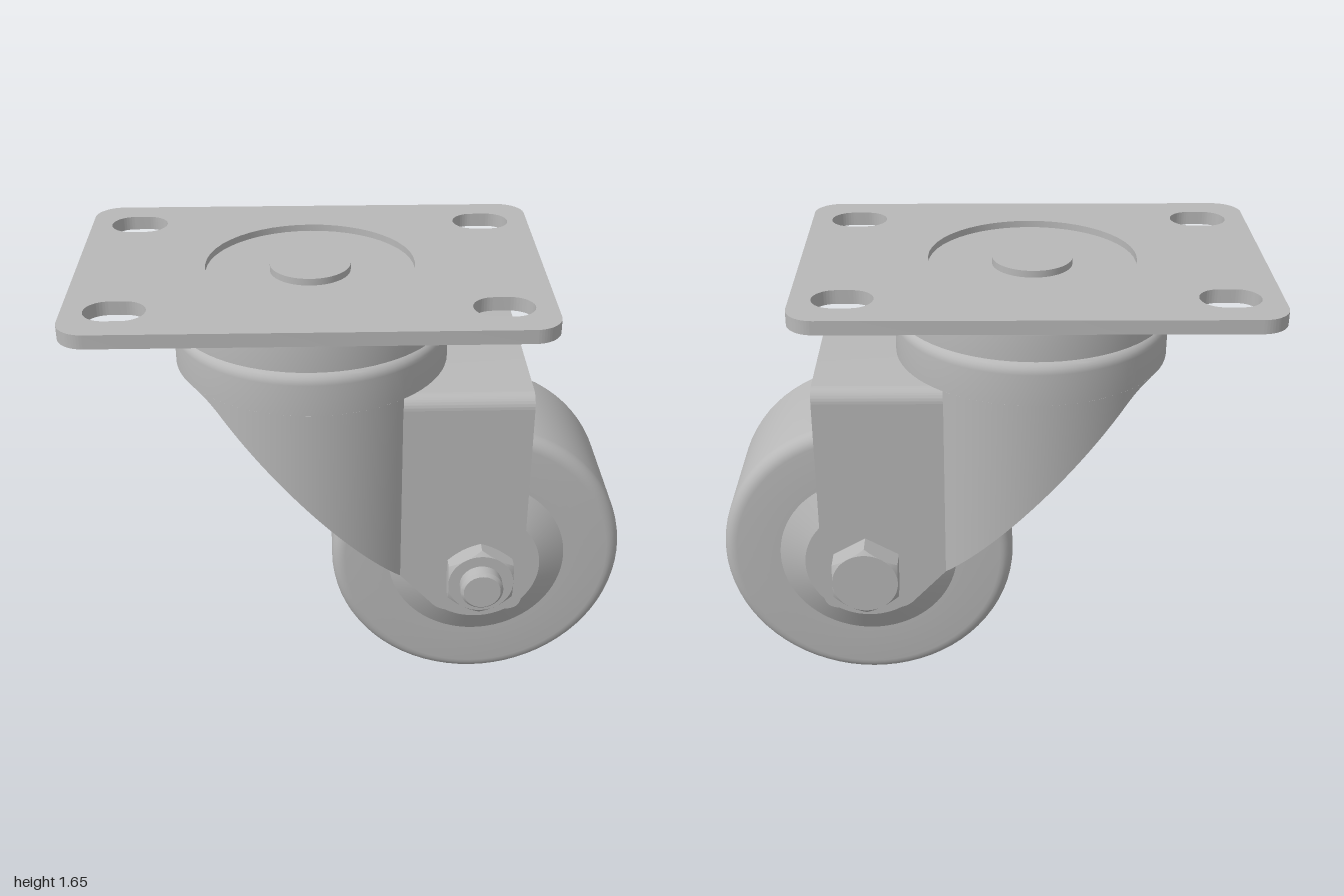
import * as THREE from 'three';
import { toCreasedNormals } from 'three/addons/utils/BufferGeometryUtils.js';

const SWIVEL_X = -0.17, AXLE_X = 0.445, AXLE_Y = 0.55;
const LEG_IN = 0.335, LEG_OUT = 0.385, LEG_START = 0.13, LEG_END = 0.612;

const steel = new THREE.MeshStandardMaterial({ color: 0xb8b8b8 });
steel.name = 'grey steel';

export function createModel() {
  const root = new THREE.Group();
  root.name = 'swivelCaster';

  const add = (name, geometry, x = 0, y = 0, z = 0, parent = root) => {
    const mesh = new THREE.Mesh(toCreasedNormals(geometry, 0.5), steel);
    mesh.name = name;
    mesh.position.set(x, y, z);
    parent.add(mesh);
    return mesh;
  };

  // Rounded rectangle drawn on a shape or a hole path
  const roundRect = (p, cx, cy, w, h, r) => {
    const q = Math.PI / 2;
    p.absarc(cx + w - r, cy + h - r, r, 0, q);
    p.absarc(cx - w + r, cy + h - r, r, q, 2 * q);
    p.absarc(cx - w + r, cy - h + r, r, 2 * q, 3 * q);
    p.absarc(cx + w - r, cy - h + r, r, 3 * q, 4 * q);
    p.closePath();
    return p;
  };
  const extrude = (shape, depth) =>
    new THREE.ExtrudeGeometry(shape, { depth, bevelEnabled: false, curveSegments: 24 });

  // Lathe profile; a third value rounds that corner
  const lathe = (profile, segments = 72) => {
    const pts = [];
    profile.forEach(([x, y, r], i) => {
      const p = new THREE.Vector2(x, y);
      if (!r) return pts.push(p);
      const toward = (n) => new THREE.Vector2(profile[n][0], profile[n][1]).sub(p).setLength(r);
      const a = toward(i - 1), b = toward(i + 1);
      for (let k = 0; k <= 6; k++) {
        const t = (k / 6) * Math.PI / 2;
        pts.push(p.clone().addScaledVector(a, 1 - Math.sin(t)).addScaledVector(b, 1 - Math.cos(t)));
      }
    });
    return new THREE.LatheGeometry(pts, segments);
  };

  // Mounting plate with four slots and a round opening
  const plate = roundRect(new THREE.Shape(), -0.17, 0, 0.83, 0.578, 0.1);
  for (const x of [-0.82, 0.48]) for (const z of [-0.395, 0.395])
    plate.holes.push(roundRect(new THREE.Path(), x, z, 0.105, 0.078, 0.0779));
  plate.holes.push(new THREE.Path().absarc(SWIVEL_X, 0, 0.375, 0, Math.PI * 2));
  add('mountingPlate', extrude(plate, 0.05).rotateX(-Math.PI / 2), 0, 1.6);

  // Swivel bearing: upper race, recessed floor, neck and king pin
  add('upperRace', lathe([[0, 1.465], [0.5, 1.465], [0.5, 1.6, 0.04], [0.375, 1.6],
    [0.375, 1.625], [0, 1.625]]), SWIVEL_X);
  add('bearingNeck', new THREE.CylinderGeometry(0.46, 0.46, 0.03, 64), SWIVEL_X, 1.46);
  add('kingPin', new THREE.CylinderGeometry(0.145, 0.145, 0.04, 48), SWIVEL_X, 1.63);

  // Fork: hollow cap under the bearing
  const fork = new THREE.Group();
  fork.name = 'fork';
  root.add(fork);
  add('forkCap', lathe([[0, 1.4], [0.445, 1.4], [0.445, 1.3], [0.5, 1.3],
    [0.5, 1.455, 0.04], [0, 1.455]]), SWIVEL_X, 0, 0, fork);

  // Curved skirt, trimmed below by a slanted cut with a softened corner
  const cutLine = (x) => 1.283 - 1.084 * (x + 0.53);
  const cut = (x) => {
    const y = cutLine(x), k = 0.06;
    return Math.min(y, 1.3) - Math.max(k - Math.abs(y - 1.3), 0) ** 2 / (4 * k);
  };
  const verts = [], index = [], steps = 96, start = Math.acos(0.64);
  for (let i = 0; i <= steps; i++) {
    const a = start + (i / steps) * 2 * (Math.PI - start);
    for (const [r, low] of [[0.5, 1], [0.5, 0], [0.445, 0], [0.445, 1]]) {
      const x = SWIVEL_X + r * Math.cos(a);
      verts.push(x, low ? cut(x) : 1.3, r * Math.sin(a));
    }
    if (i < steps) for (let j = 0; j < 4; j++) {
      const p = i * 4 + j, q = i * 4 + (j + 1) % 4;
      index.push(p, q, p + 4, q, q + 4, p + 4);
    }
  }
  const skirt = new THREE.BufferGeometry();
  skirt.setAttribute('position', new THREE.Float32BufferAttribute(verts, 3));
  skirt.setIndex(index);
  add('forkSkirt', skirt, 0, 0, 0, fork);

  // Flat fork legs
  const leg = new THREE.Shape();
  leg.moveTo(LEG_START, 1.25);
  leg.lineTo(LEG_START, cutLine(LEG_START));
  leg.lineTo(0.265, cutLine(0.265));
  leg.quadraticCurveTo(0.295, 0.383, 0.34, 0.383);
  leg.lineTo(0.552, 0.383);
  leg.quadraticCurveTo(LEG_END, 0.383, LEG_END, 0.443);
  leg.lineTo(LEG_END, 1.25);
  leg.closePath();
  const legGeometry = extrude(leg, LEG_OUT - LEG_IN);
  add('leftLeg', legGeometry, 0, 0, LEG_IN, fork);
  add('rightLeg', legGeometry, 0, 0, -LEG_OUT, fork);

  // Bent bridge joining the legs
  const bridge = new THREE.Shape();
  bridge.moveTo(-LEG_OUT, 1.25);
  bridge.lineTo(LEG_OUT, 1.25);
  bridge.absarc(LEG_OUT - 0.05, 1.25, 0.05, 0, Math.PI / 2);
  bridge.absarc(-LEG_OUT + 0.05, 1.25, 0.05, Math.PI / 2, Math.PI);
  add('forkBridge', extrude(bridge, LEG_END - LEG_START).rotateY(Math.PI / 2), LEG_START, 0, 0, fork);

  // Wheel with rounded tread and conical hub
  add('wheel', lathe([[0, -0.335], [0.235, -0.335], [0.335, -0.28], [0.55, -0.28, 0.05],
    [0.55, 0.28, 0.05], [0.335, 0.28], [0.235, 0.335], [0, 0.335]]).rotateX(Math.PI / 2),
  AXLE_X, AXLE_Y);

  // Hexagon with corners trimmed by a cone at its ends
  const hex = (h, bothEnds) => {
    const flat = 0.121, g = new THREE.CylinderGeometry(1, 1, h, 72, 3);
    const p = g.attributes.position;
    for (let i = 0; i < p.count; i++) {
      const x = p.getX(i), z = p.getZ(i), y = p.getY(i);
      if (Math.hypot(x, z) < 0.5) continue;
      const a = Math.atan2(x, z), sector = Math.PI / 3;
      const off = a - (Math.floor(a / sector + 1e-6) + 0.5) * sector;
      const hexR = flat / Math.cos(off);
      const inner = Math.abs(y) < h * 0.4, trim = y > 0 || bothEnds;
      const r = inner || !trim ? hexR : flat;
      const drop = trim ? (hexR - flat) * 0.8 : 0;
      p.setXYZ(i, x * r, inner ? Math.sign(y) * (h / 2 - drop) : y, z * r);
    }
    return g.rotateX(Math.PI / 2);
  };

  // Axle bolt: nut and threaded end on the left, head on the right
  add('axleNut', hex(0.073, true), AXLE_X, AXLE_Y + 0.005, 0.4215);
  add('boltHead', hex(0.09, false).rotateY(Math.PI), AXLE_X, AXLE_Y + 0.005, -0.43);
  add('axle', lathe([[0, -0.4], [0.079, -0.4], [0.079, 0.498], [0.068, 0.51], [0, 0.51]], 48)
    .rotateX(Math.PI / 2), AXLE_X, AXLE_Y + 0.005);

  return root;
}
